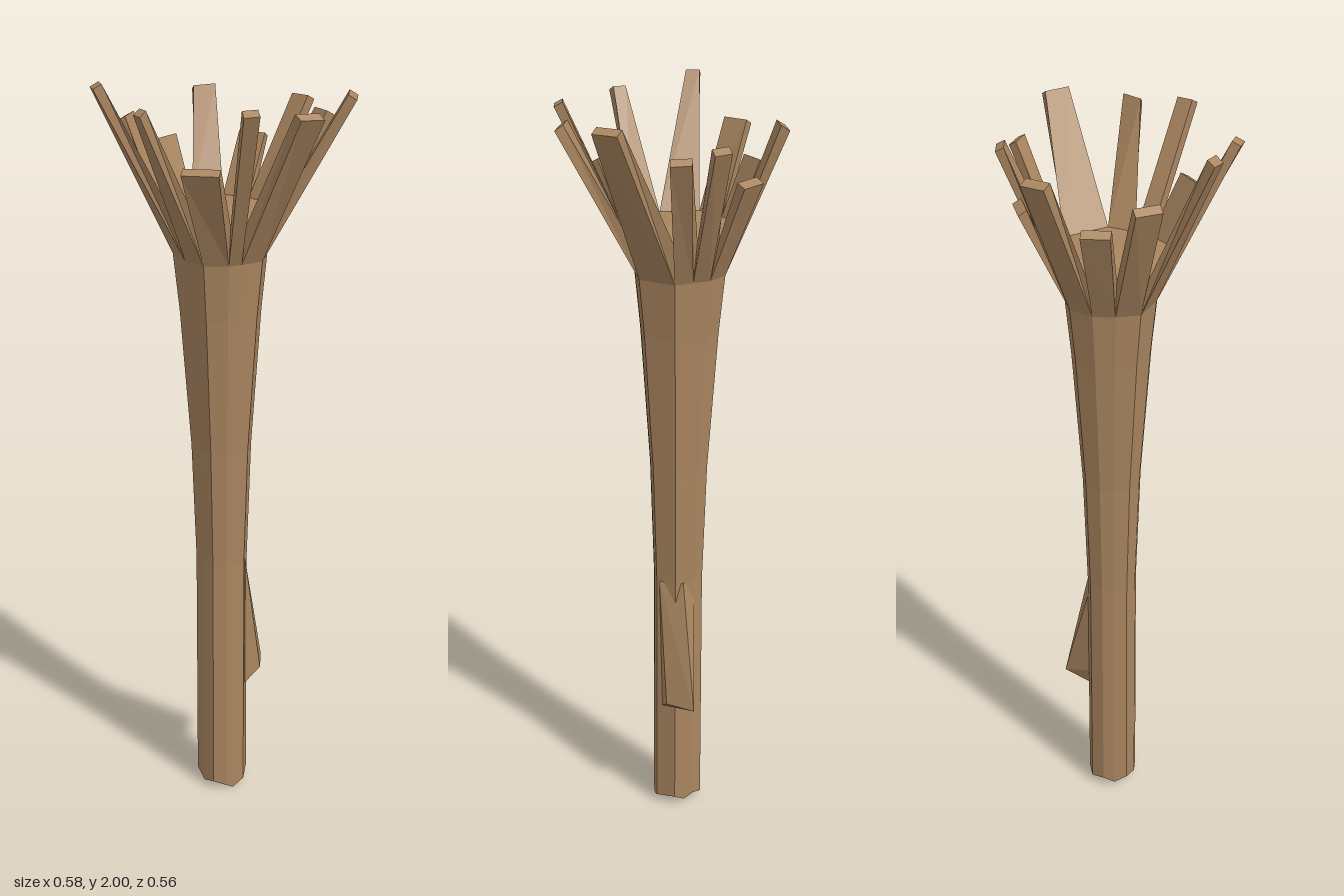
import * as THREE from 'three';
import { ConvexGeometry } from 'three/addons/geometries/ConvexGeometry.js';

const CX = 0.01, CZ = -0.037; // stalk axis

// Rim outline (x, z), running from the left side round by the front
const RIM = [[0.13, -0.105], [0.137, -0.05], [0.147, 0.01], [0.068, 0.102], [-0.005, 0.098], [-0.047, 0.092],
  [-0.113, 0.052], [-0.133, -0.022], [-0.12, -0.122], [-0.055, -0.162], [0.01, -0.182], [0.09, -0.163]];

// Outer tip corners of the prong on each rim edge: x1, z1, x2, z2, height
const TIPS = [
  [0.27, -0.095, 0.287, -0.05, 1.92], [0.278, 0, 0.278, 0.052, 1.90],
  [0.262, 0.167, 0.222, 0.217, 1.97], [0.09, 0.277, 0.038, 0.257, 1.95],
  [-0.068, 0.25, -0.107, 0.243, 1.97], [-0.118, 0.155, -0.187, 0.097, 1.82],
  [-0.277, 0.073, -0.277, 0.042, 1.96], [-0.289, -0.13, -0.28, -0.163, 1.99],
  [-0.183, -0.213, -0.135, -0.257, 1.89], [-0.07, -0.24, -0.005, -0.262, 1.82],
  [0.07, -0.28, 0.13, -0.273, 1.93], [0.17, -0.2, 0.21, -0.142, 1.82]];

// Stalk sections: height, scale of the rim outline
const SECTIONS = [[0.02, 0.47], [0.72, 0.46], [1.05, 0.53], [1.42, 0.7], [1.57, 0.8]];
const FOOT = [0.03, 0.015, 0.03, 0.02, 0, 0.012, 0.025, 0.015, 0.03, 0.015, 0.03, 0.02];
const N = RIM.length;

const ring = (y, k) => RIM.map(([x, z]) => [CX + (x - CX) * k, y, CZ + (z - CZ) * k]);

function meshFrom(name, faces, material) {
  const pos = [];
  for (const f of faces) {
    for (let i = 1; i < f.length - 1; i++) pos.push(...f[0], ...f[i], ...f[i + 1]);
  }
  const geo = new THREE.BufferGeometry();
  geo.setAttribute('position', new THREE.Float32BufferAttribute(pos, 3));
  geo.computeVertexNormals();
  const mesh = new THREE.Mesh(geo, material);
  mesh.name = name;
  return mesh;
}

export function createModel() {
  const group = new THREE.Group();
  group.name = 'splinteredStalk';
  const wood = new THREE.MeshStandardMaterial({ color: 0xaa8660, flatShading: true });
  wood.name = 'wood';

  // Stalk with a jagged foot
  const rings = SECTIONS.map(([y, k]) => ring(y, k));
  rings[0].forEach((p, i) => { p[1] = FOOT[i]; });
  const rim = ring(1.68, 1);
  const stalk = [], cap = [];
  for (let i = 0; i < N; i++) {
    const j = (i + 1) % N;
    for (let r = 0; r < rings.length - 1; r++) {
      stalk.push([rings[r][i], rings[r + 1][i], rings[r + 1][j], rings[r][j]]);
    }
    stalk.push([[CX, 0.04, CZ], rings[0][i], rings[0][j]]);
    cap.push([[CX, 1.69, CZ], rim[j], rim[i]]);
  }
  group.add(meshFrom('stalk', stalk, wood), meshFrom('stalkTop', cap, wood));

  // Prongs flaring from the rim
  const neck = rings[rings.length - 1];
  const inward = ([x, y, z], mx, mz) => {
    const d = Math.hypot(mx - CX, mz - CZ);
    return [x - 0.021 * (mx - CX) / d, y + 0.012, z - 0.021 * (mz - CZ) / d];
  };
  TIPS.forEach(([x1, z1, x2, z2, y], i) => {
    const j = (i + 1) % N;
    const mx = (x1 + x2) / 2, mz = (z1 + z2) / 2;
    const p = [x1, y, z1], q = [x2, y, z2];
    const pi = inward(p, mx, mz), qi = inward(q, mx, mz);
    group.add(meshFrom('prong' + (i + 1), [
      [neck[i], p, q, neck[j]],   // outside
      [rim[i], rim[j], qi, pi],   // inside
      [neck[i], rim[i], pi, p],   // sides
      [neck[j], q, qi, rim[j]],
      [p, pi, qi, q],             // tip
    ], wood));
  });

  // Broken branch stub on the left side
  const stub = new THREE.Mesh(new ConvexGeometry([
    [0.045, 0.72, 0.022], [0.073, 0.72, -0.037], [0.05, 0.72, -0.072],
    [0.1, 0.365, 0.015], [0.145, 0.36, -0.05],
    [0.05, 0.33, 0.015], [0.07, 0.33, -0.045], [0.05, 0.4, -0.07],
    [0.01, 0.71, -0.03], [0.01, 0.34, -0.03],
  ].map((p) => new THREE.Vector3(...p))), wood);
  stub.name = 'branchStub';
  group.add(stub);

  return group;
}
